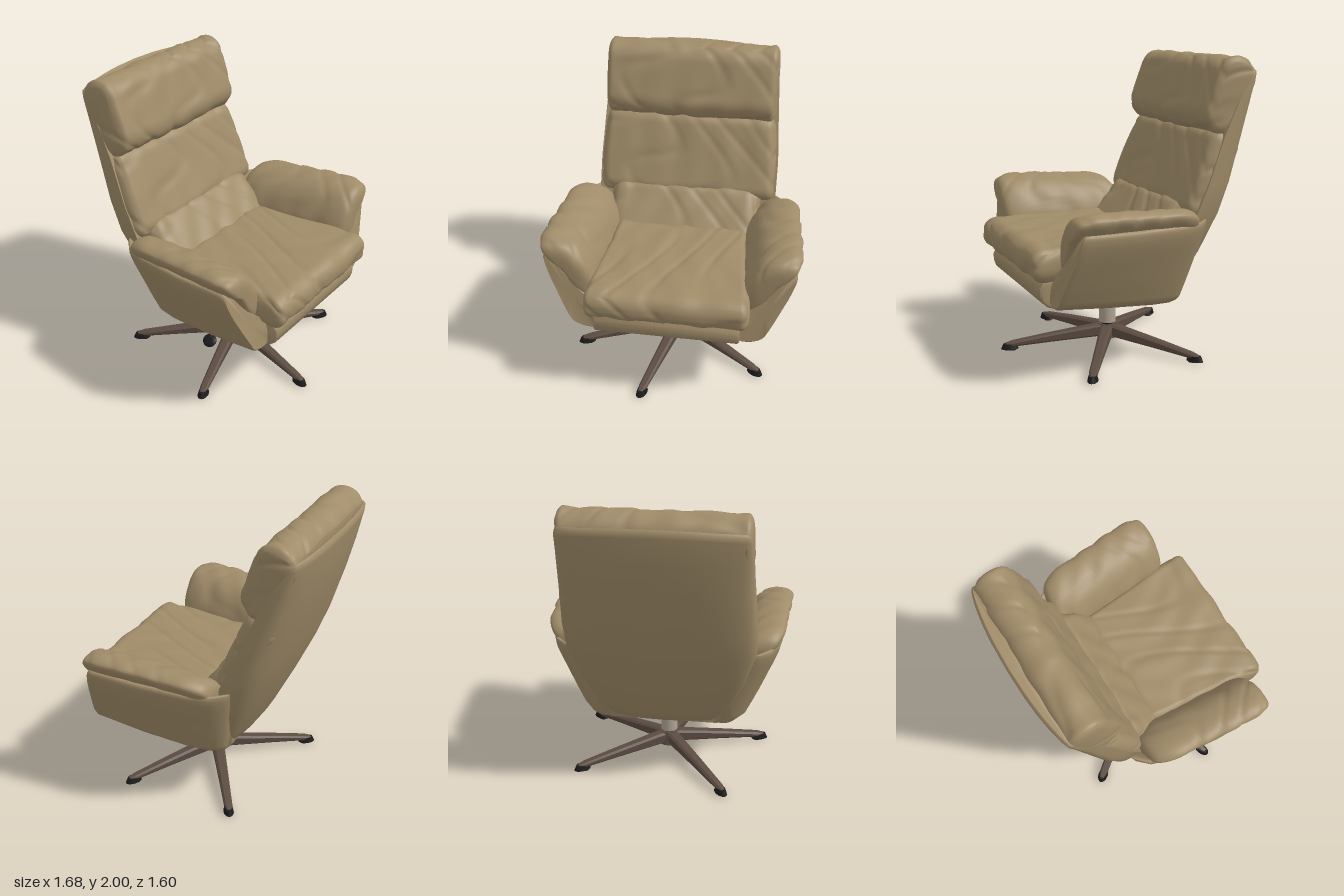
import * as THREE from 'three';
import { mergeVertices, toCreasedNormals } from 'three/addons/utils/BufferGeometryUtils.js';

const material = (name, color) => {
  const m = new THREE.MeshStandardMaterial({ color });
  m.name = name;
  return m;
};
const V = (x, y, z) => new THREE.Vector3(x, y, z);
const clamp = THREE.MathUtils.clamp;

// piecewise-linear lookup: rows of [key, value] sorted by rising key
function lookup(rows, k) {
  let i = 0;
  while (i < rows.length - 2 && k > rows[i + 1][0]) i++;
  const [a, b] = [rows[i], rows[i + 1]];
  return a[1] + (b[1] - a[1]) * clamp((k - a[0]) / (b[0] - a[0]), 0, 1);
}

// soft leather folds with a few sharper creases
const folds = (x, y, z) =>
  0.003 * Math.sin(11 * x + 3 * Math.sin(5 * y + 2 * x) + 5 * z) +
  0.003 * Math.sin(27 * x - 9 * y + 3 * Math.sin(6 * z + 4 * y)) -
  0.008 * Math.abs(Math.sin(10 * x + 3 * y + 2 * Math.sin(7 * y + 5 * z + 4 * x))) ** 12;

// skin over closed rings, with fan caps; winding is set so that it faces outwards
function loft(rings, crease) {
  const n = rings[0].length, pts = rings.flat(), idx = [];
  for (let i = 0; i < rings.length - 1; i++) {
    for (let j = 0; j < n; j++) {
      const a = i * n + j, b = i * n + (j + 1) % n;
      idx.push(a, b, b + n, a, b + n, a + n);
    }
  }
  [0, rings.length - 1].forEach((r) => {
    const c = pts.length;
    pts.push(rings[r].reduce((s, p) => s.add(p), V(0, 0, 0)).divideScalar(n));
    for (let j = 0; j < n; j++) {
      const a = r * n + j, b = r * n + (j + 1) % n;
      if (r === 0) idx.push(c, b, a); else idx.push(c, a, b);
    }
  });
  let volume = 0;
  for (let i = 0; i < idx.length; i += 3) {
    volume += pts[idx[i]].dot(pts[idx[i + 1]].clone().cross(pts[idx[i + 2]]));
  }
  if (volume < 0) idx.reverse();
  const g = new THREE.BufferGeometry().setFromPoints(pts);
  g.setIndex(idx);
  g.computeVertexNormals();
  return crease ? toCreasedNormals(g, crease) : g;
}

// wrinkled pillow with tight ends (rx) and full long edges (r); taper widens it along an axis
function cushion(w, h, d, rx, r, seed, taperAxis = 'y', taper = 0) {
  let g = new THREE.BoxGeometry(w, h, d, 72, 30, 40);
  g.deleteAttribute('uv');
  g.deleteAttribute('normal');
  g = mergeVertices(g, 1e-5);
  const pos = g.attributes.position, p = V(0, 0, 0);
  const radii = V(rx, r, r);
  const inner = V(w, h, d).multiplyScalar(0.5).sub(radii);
  for (let i = 0; i < pos.count; i++) {
    p.fromBufferAttribute(pos, i);
    const q = p.clone().clamp(inner.clone().negate(), inner);
    const dir = p.clone().sub(q).divide(radii).normalize();
    const wrinkle = folds(p.x + seed, p.y + seed * 2, p.z);
    p.copy(q).addScaledVector(dir, wrinkle).add(dir.multiply(radii));
    p.x *= 1 + taper * p[taperAxis];
    pos.setXYZ(i, p.x, p.y, p.z);
  }
  g.computeVertexNormals();
  return g;
}

export function createModel() {
  const chair = new THREE.Group();
  chair.name = 'loungeChair';
  const leather = material('tan leather', 0x9f8b68);
  const bronze = material('bronze brown', 0x5c4c42);
  const steel = material('warm steel', 0xaea493);
  const black = material('black', 0x1c1c1e);
  const add = (name, geometry, mat, x = 0, y = 0, z = 0, parent = chair) => {
    const m = new THREE.Mesh(geometry, mat);
    m.name = name;
    m.position.set(x, y, z);
    parent.add(m);
    return m;
  };

  // Curved back shell: y, half width, rear z, front z
  const backRows = [
    [0.40, 0.40, -0.23, -0.12], [0.43, 0.43, -0.275, -0.12], [0.5, 0.45, -0.32, -0.15],
    [0.75, 0.55, -0.44, -0.22], [1.0, 0.62, -0.55, -0.27], [1.2, 0.62, -0.625, -0.36],
    [1.5, 0.60, -0.715, -0.48], [1.7, 0.588, -0.765, -0.58], [1.89, 0.578, -0.798, -0.67],
    [1.925, 0.57, -0.80, -0.69], [1.94, 0.55, -0.785, -0.71],
  ];
  const power = (v, e) => Math.sign(v) * Math.abs(v) ** e;
  add('backShell', loft(backRows.map(([y, w, zb, zf]) => {
    const ring = [];
    for (let i = 0; i <= 32; i++) {
      const a = Math.PI * i / 32, u = power(Math.cos(a), 0.5);
      const depth = Math.sin(a) ** 0.4;
      ring.push(V(w * u, y + (y > 1.85 ? -0.03 * u * u : 0), zf - (zf - zb - 0.05 * u * u) * depth));
    }
    return ring;
  }), 0.9), leather);

  // Seat base with a rounded nose, narrowing towards the back
  const profile = new THREE.Shape([[0.60, 0.475], [0.67, 0.50], [0.705, 0.53], [0.72, 0.57], [0.72, 0.61], [0.70, 0.64],
    [0.5, 0.66], [-0.26, 0.62], [-0.22, 0.42], [0, 0.42]].map(([z, y]) => new THREE.Vector2(z, y)));
  const base = new THREE.ExtrudeGeometry(profile, { depth: 0.92, bevelSize: 0.015, bevelThickness: 0.015, bevelSegments: 3 });
  base.rotateY(-Math.PI / 2).translate(0.46, 0, 0);
  const bp = base.attributes.position;
  for (let i = 0; i < bp.count; i++) bp.setX(i, bp.getX(i) * (1 + 0.9 * Math.min(0, bp.getZ(i))));
  add('seatBase', toCreasedNormals(base, 0.8), leather);

  // Arm shells and draped arm pads, mirrored
  const closed = (points, n) => new THREE.CatmullRomCurve3(points.map(([x, y]) => V(x, y, 0)), true, 'centripetal').getPoints(n).slice(0, n);
  const shellSection = closed([[0.795, 1.0], [0.805, 0.97], [0.73, 0.75], [0.645, 0.53], [0.61, 0.46], [0.54, 0.42],
    [0.47, 0.425], [0.465, 0.5], [0.475, 0.64], [0.53, 0.71], [0.66, 0.86], [0.77, 1.0]], 48);
  const padSection = closed([[0.82, 1.09], [0.78, 1.12], [0.70, 1.12], [0.59, 1.075], [0.50, 0.965], [0.455, 0.81],
    [0.49, 0.69], [0.58, 0.76], [0.70, 0.94], [0.79, 1.02]], 48);
  const shellX = [[0, 0.74], [0.02, 0.80], [0.1, 0.89], [0.25, 0.95], [0.6, 1], [1, 1.01]];
  const shellSteps = [0, 0.02, 0.06, 0.1, 0.17, 0.25, 0.4, 0.6, 0.8, 0.95, 0.985, 1];
  const padSteps = Array.from({ length: 49 }, (_, i) => (1 - Math.cos(Math.PI * i / 48)) / 2);
  for (const side of [1, -1]) {
    const label = side > 0 ? 'left' : 'right';
    add(label + 'ArmShell', loft(shellSteps.map((t) => shellSection.map(({ x, y }) => {
      const k = (1 - y) / 0.6;
      const back = -0.35 + 0.12 * k, front = 0.58 + 0.11 * Math.min(k, 0.8);
      const shrink = t === 1 || t === 0 ? 0.96 : 1;
      const xs = 0.6 + (x - 0.6) * shrink, ys = 0.75 + (y - 0.75) * shrink;
      const rise = 0.11 * t * Math.max(0, k - 0.3);
      return V(side * xs * lookup(shellX, t), ys + rise - 0.02 * (1 - t), back + (front - back) * t);
    })), 0.8), leather);

    const centre = V(0.64, 0.95, 0);
    add(label + 'ArmPad', loft(padSteps.map((t) => {
      const end = (1 - Math.min(1, Math.abs(2 * t - 1)) ** (t < 0.5 ? 8 : 14)) ** 0.4;
      const s = 0.3 + 0.7 * end;
      const z = -0.25 + 0.88 * t;
      return padSection.map((p) => {
        const out = p.clone().sub(centre);
        const q = centre.clone().addScaledVector(out, s);
        q.addScaledVector(out.normalize(), folds(z * 1.2, q.x, q.y));
        return V(side * (q.x - 0.05 * (1 - t) ** 2 + 0.02 * t), q.y - 0.05 * (1 - t) ** 2 - 0.01 * t, z);
      });
    })), leather);
  }

  // Cushions
  add('seatCushion', cushion(0.99, 0.22, 0.92, 0.05, 0.1, 1, 'z', 0.2), leather, 0, 0.762, 0.34);
  add('lowerBackCushion', cushion(1.06, 0.44, 0.2, 0.12, 0.095, 2), leather, 0, 0.885, -0.19).rotation.x = -0.72;
  add('middleBackCushion', cushion(1.21, 0.6, 0.22, 0.06, 0.09, 3, 'y', -0.08), leather, 0, 1.24, -0.42).rotation.x = -0.4;
  add('headCushion', cushion(1.175, 0.515, 0.28, 0.045, 0.138, 4), leather, 0, 1.745, -0.55).rotation.x = -0.35;

  // Tilt mechanism and lever
  add('mechanismPlate', new THREE.BoxGeometry(0.68, 0.05, 0.52), black, 0, 0.437, 0.19).rotation.x = -0.1;
  add('mechanismCone', new THREE.CylinderGeometry(0.12, 0.06, 0.08, 24), black, 0, 0.375, 0.07);
  add('tiltArm', new THREE.BoxGeometry(0.1, 0.035, 0.44), black, 0, 0.405, 0.24).rotation.x = -0.22;
  const leverPath = new THREE.CatmullRomCurve3([V(-0.2, 0.41, 0.2), V(-0.42, 0.415, 0.22), V(-0.48, 0.4, 0.23), V(-0.52, 0.36, 0.24)]);
  add('leverRod', new THREE.TubeGeometry(leverPath, 20, 0.013, 8), black);
  const paddle = add('leverPaddle', new THREE.SphereGeometry(1, 20, 12), black, -0.52, 0.355, 0.24);
  paddle.scale.set(0.045, 0.018, 0.05);
  paddle.rotation.z = 0.7;

  // Column and star base
  const star = new THREE.Group();
  star.name = 'starBase';
  star.position.z = 0.07;
  chair.add(star);
  add('column', new THREE.CylinderGeometry(0.058, 0.058, 0.17, 32), steel, 0, 0.25, 0, star);
  add('columnCollar', new THREE.CylinderGeometry(0.04, 0.04, 0.05, 24), black, 0, 0.155, 0, star);
  add('hub', new THREE.CylinderGeometry(0.06, 0.08, 0.09, 24), bronze, 0, 0.105, 0, star);

  // Leg sections: distance, half width, bottom y, top y
  const legRows = [[0, 0.045, 0.065, 0.15], [0.08, 0.042, 0.065, 0.146], [0.4, 0.034, 0.045, 0.102], [0.66, 0.028, 0.026, 0.062], [0.71, 0.018, 0.026, 0.048]];
  for (const degrees of [32, 104, 162, 232, 326]) {
    const leg = new THREE.Group();
    leg.name = 'leg';
    leg.rotation.y = -THREE.MathUtils.degToRad(degrees);
    star.add(leg);
    add('legBar', loft(legRows.map(([x, w, lo, hi]) => [
      V(x, lo, -w * 0.7), V(x, lo + 0.012, -w), V(x, hi - 0.012, -w), V(x, hi, -w * 0.6),
      V(x, hi, w * 0.6), V(x, hi - 0.012, w), V(x, lo + 0.012, w), V(x, lo, w * 0.7),
    ]), 0.5), bronze, 0, 0, 0, leg);
    add('foot', new THREE.CylinderGeometry(0.026, 0.035, 0.036, 20), black, 0.68, 0.026, 0, leg).scale.x = 1.7;
    add('footGlide', new THREE.CylinderGeometry(0.026, 0.026, 0.012, 16), black, 0.66, 0.006, 0, leg);
  }
  return chair;
}
